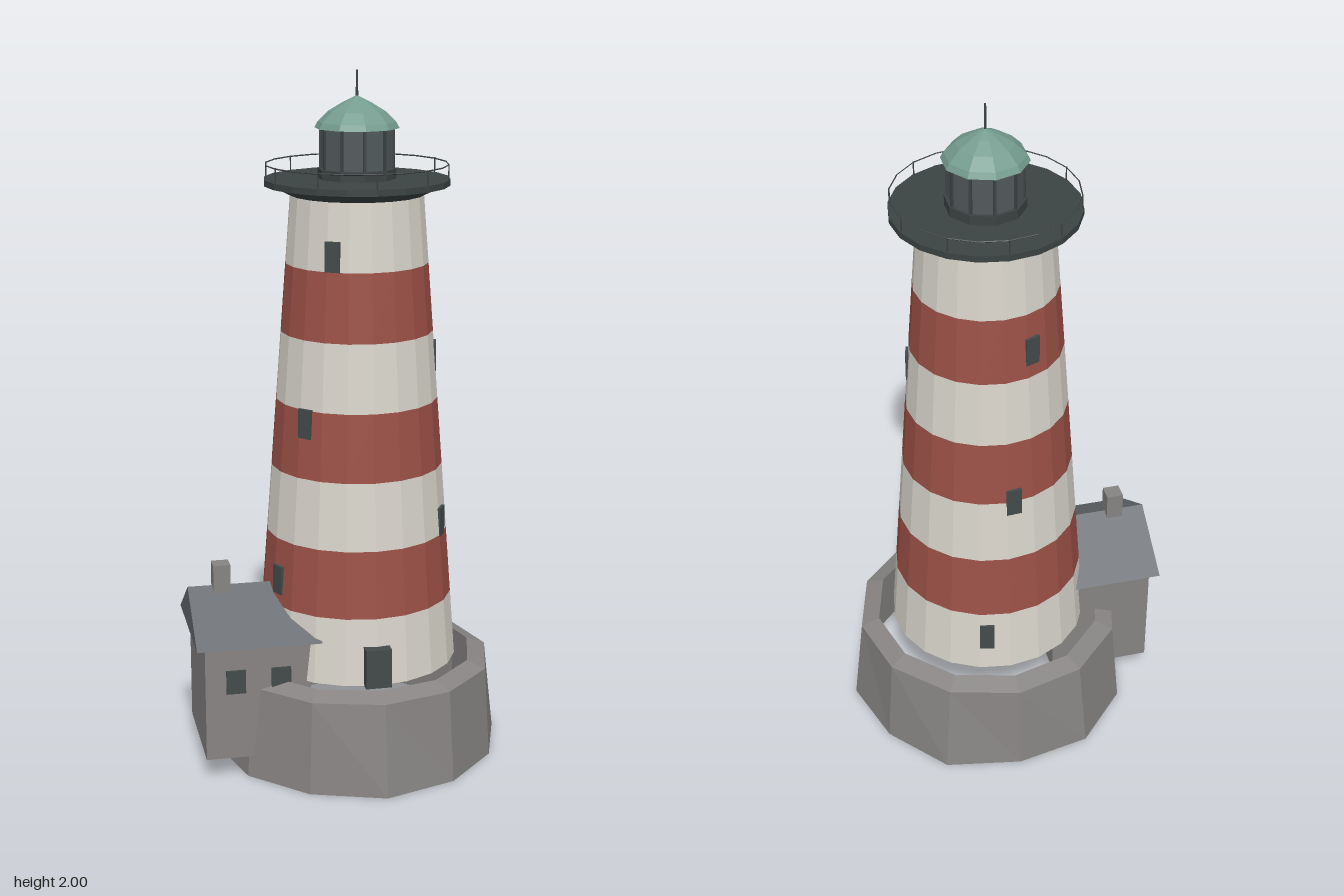
import * as THREE from 'three';

const mat = (name, color, side = THREE.FrontSide) =>
  new THREE.MeshStandardMaterial({ name, color, side, flatShading: true });

export function createModel() {
  const cream = mat('cream paint', 0xd9d5cc, THREE.DoubleSide);
  const red = mat('red paint', 0x9c5147, THREE.DoubleSide);
  const stone = mat('stone', 0x878483, THREE.DoubleSide);
  const slate = mat('slate', 0x686c70);
  const iron = mat('dark iron', 0x3c4343);
  const glass = mat('dark glass', 0x434b4a);
  const lampGlass = mat('lantern glass', 0x525a5c);
  const copper = mat('green copper', 0x759c8f);

  const model = new THREE.Group();
  model.name = 'lighthouse';
  const tower = new THREE.Group();
  tower.name = 'tower';
  tower.position.set(0.04, 0, -0.01);
  const house = new THREE.Group();
  house.name = 'house';
  model.add(tower, house);

  const add = (parent, name, geometry, material, x = 0, y = 0, z = 0) => {
    const mesh = new THREE.Mesh(geometry, material);
    mesh.name = name;
    mesh.position.set(x, y, z);
    parent.add(mesh);
    return mesh;
  };
  // Cylinder given by its bottom and top heights
  const drum = (name, rBottom, rTop, y0, y1, sides, material, open = false) =>
    add(tower, name, new THREE.CylinderGeometry(rTop, rBottom, y1 - y0, sides, 1, open), material, 0, (y0 + y1) / 2);
  const lathe = (points, sides) =>
    new THREE.LatheGeometry(points.map(([r, y]) => new THREE.Vector2(r, y)), sides);

  // Hollow stone footing, with an uneven lower rim
  const footing = lathe([[1, 0], [0.4, 0.27], [0.345, 0.29]], 12);
  const rim = [0.435, 0.421, 0.417, 0.43, 0.421, 0.439, 0.42, 0.435, 0.426, 0.42, 0.421, 0.421];
  const p = footing.attributes.position;
  for (let i = 0; i <= 12; i++) {
    const r = rim[i % 12];
    p.setXYZ(i * 3, p.getX(i * 3) * r, 0, p.getZ(i * 3) * r);
  }
  add(tower, 'footing', footing, stone);

  // Tapered tower in seven painted bands
  const yBase = 0.285, yTop = 1.66;
  const radiusAt = (y) => 0.295 - 0.105 * (y - yBase) / (yTop - yBase);
  for (let i = 0; i < 7; i++) {
    const y0 = yBase + (yTop - yBase) * i / 7;
    const y1 = yBase + (yTop - yBase) * (i + 1) / 7;
    drum('towerBand', radiusAt(y0), radiusAt(y1), y0, y1, 20, i % 2 ? red : cream, true);
  }

  // Windows climbing in a spiral, almost flush with the wall
  for (let i = 0; i < 8; i++) {
    const a = 2.9 + 2.2 * i, y = 0.4 + 0.158 * i, r = radiusAt(y) - 0.007;
    const w = add(tower, 'towerWindow', new THREE.BoxGeometry(0.044, 0.085, 0.02), glass,
      r * Math.sin(a), y, r * Math.cos(a));
    w.rotation.y = a;
  }
  add(tower, 'door', new THREE.BoxGeometry(0.075, 0.115, 0.035), glass, 0, 0.3425, 0.298);

  // Gallery deck and railing
  drum('galleryBracket', 0.19, 0.25, 1.655, 1.685, 20, iron);
  drum('galleryDeck', 0.264, 0.264, 1.682, 1.7, 20, iron);
  const rail = add(tower, 'railing', new THREE.TorusGeometry(0.259, 0.002, 4, 20), iron, 0, 1.74);
  rail.rotation.x = Math.PI / 2;
  for (let i = 0; i < 10; i++) {
    const a = i * Math.PI / 5;
    add(tower, 'railPost', new THREE.CylinderGeometry(0.002, 0.002, 0.045, 4), iron,
      0.259 * Math.sin(a), 1.72, 0.259 * Math.cos(a));
  }

  // Lantern room
  drum('lanternBase', 0.112, 0.112, 1.7, 1.728, 10, iron);
  drum('lanternGlass', 0.102, 0.102, 1.728, 1.842, 10, lampGlass);
  for (let i = 0; i < 10; i++) {
    const a = i * Math.PI / 5;
    add(tower, 'lanternBar', new THREE.BoxGeometry(0.008, 0.114, 0.008), iron,
      0.103 * Math.sin(a), 1.785, 0.103 * Math.cos(a)).rotation.y = a;
  }

  // Copper dome and spire
  add(tower, 'dome', lathe([[0.001, 1.84], [0.12, 1.84], [0.111, 1.857], [0.08, 1.887], [0.04, 1.911], [0.001, 1.93]], 10), copper);
  drum('spire', 0.004, 0.003, 1.92, 2, 6, iron);

  // Keeper's house
  add(house, 'houseWalls', new THREE.BoxGeometry(0.305, 0.345, 0.34), stone, -0.2925, 0.2375, 0.04);
  const gable = new THREE.Shape([[-0.197, 0], [0.197, 0], [0, 0.128]].map(([x, y]) => new THREE.Vector2(x, y)));
  const roof = add(house, 'roof', new THREE.ExtrudeGeometry(gable, { depth: 0.36, bevelEnabled: false }),
    slate, -0.47, 0.407, 0.04);
  roof.rotation.y = Math.PI / 2;
  add(house, 'chimney', new THREE.BoxGeometry(0.05, 0.105, 0.05), stone, -0.373, 0.55, 0.043);
  for (const x of [-0.357, -0.226]) {
    add(house, 'houseWindow', new THREE.BoxGeometry(0.056, 0.07, 0.009), glass, x, 0.3, 0.212);
  }
  return model;
}
